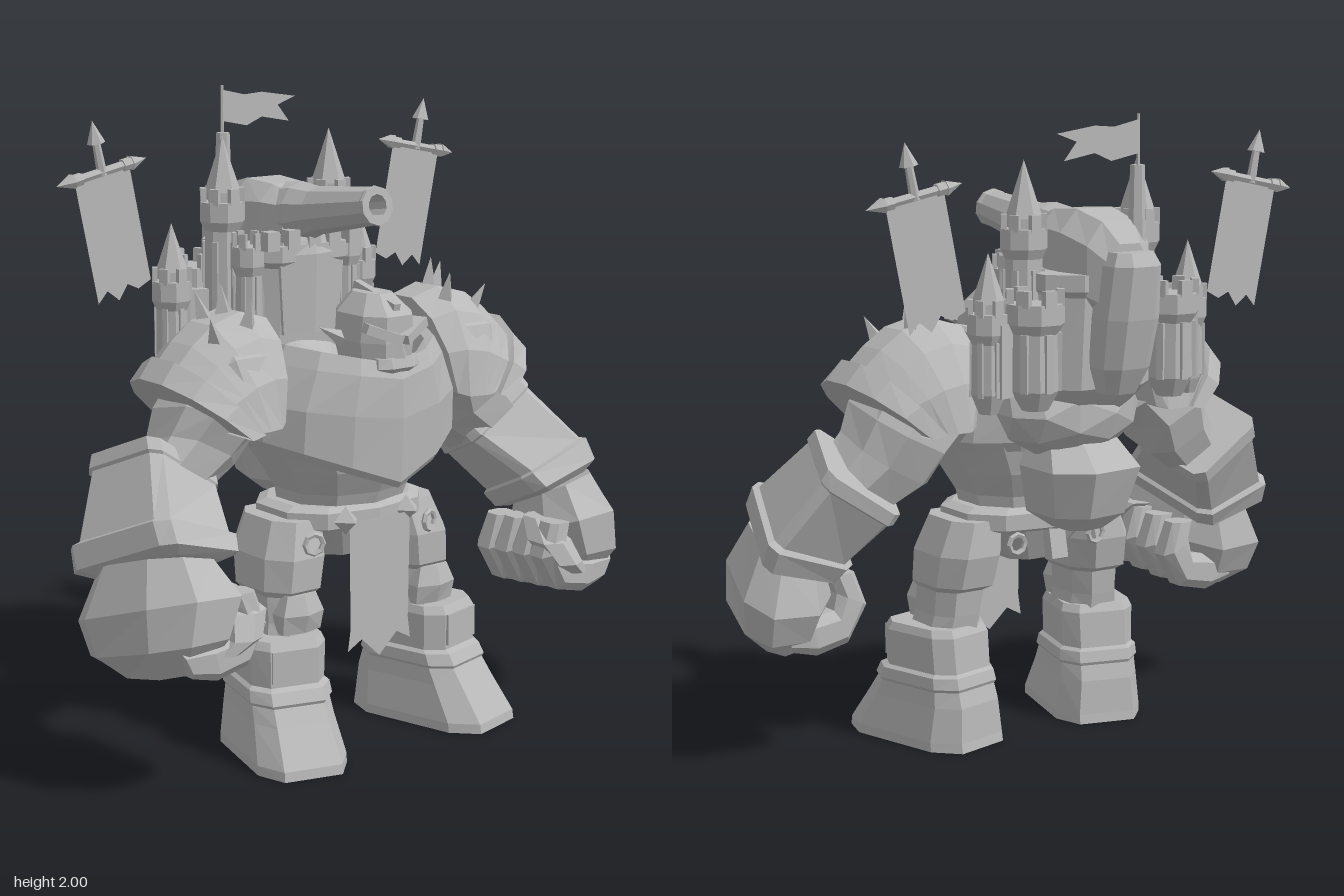
import * as THREE from 'three';

const stone = new THREE.MeshStandardMaterial({ color: 0xb8b8b8, flatShading: true, side: THREE.DoubleSide });
stone.name = 'grey stone';
const V = (x, y, z) => new THREE.Vector3(x, y, z);

function add(parent, name, geo, pos = [0, 0, 0], rot = [0, 0, 0], scale = [1, 1, 1]) {
  const m = new THREE.Mesh(geo, stone);
  m.name = name;
  m.position.set(...pos);
  m.rotation.set(...rot);
  m.scale.set(...scale);
  parent.add(m);
  return m;
}

// Ring of n points around c; e below 1 makes the section boxier
function ring(c, u, v, n = 8, e = 0.75) {
  const p = (t) => Math.sign(t) * Math.abs(t) ** e;
  return Array.from({ length: n }, (_, i) => {
    const a = ((i + 0.5) / n) * Math.PI * 2;
    return c.clone().addScaledVector(u, p(Math.cos(a))).addScaledVector(v, p(Math.sin(a)));
  });
}
// Horizontal ring
const flat = (x, y, z, rx, rz, n, e) => ring(V(x, y, z), V(rx, 0, 0), V(0, 0, rz), n, e);
// Limb ring from outer point a to inner point b, with depth, forward tilt and inward turn
const limb = (ax, ay, bx, by, z, rz, tilt = 0, turn = 0, n = 8, e = 0.75) =>
  ring(V((ax + bx) / 2, (ay + by) / 2, z), V((ax - bx) / 2, (ay - by) / 2, 0), V(-turn * rz, tilt * rz, rz), n, e);
// Arch section with its crown at a and its flat foot through b
const arch = (ax, ay, bx, by, z, rz) => Array.from({ length: 8 }, (_, i) => {
  const t = (i / 7 - 0.5) * Math.PI, c = Math.cos(t);
  return V(bx + (ax - bx) * c, by + (ay - by) * c, z + rz * Math.sin(t));
});

// Skin over a list of rings, closed at both ends unless open
function loft(rings, open = false) {
  const n = rings[0].length, pts = rings.flat(), idx = [];
  for (let r = 0; r < rings.length - 1; r++) for (let i = 0; i < n; i++) {
    const a = r * n + i, b = r * n + ((i + 1) % n);
    idx.push(a, a + n, b, b, a + n, b + n);
  }
  if (!open) for (const [r, s] of [[0, 0], [rings.length - 1, 1]]) {
    const mid = rings[r].reduce((t, p) => t.add(p), V(0, 0, 0)).divideScalar(n);
    const k = pts.push(mid) - 1;
    for (let i = 0; i < n; i++) {
      const a = r * n + i, b = r * n + ((i + 1) % n);
      idx.push(k, s ? b : a, s ? a : b);
    }
  }
  // Turn the faces outward
  let vol = 0;
  for (let i = 0; i < idx.length; i += 3) vol += pts[idx[i]].dot(pts[idx[i + 1]].clone().cross(pts[idx[i + 2]]));
  if (vol < 0) idx.reverse();
  const g = new THREE.BufferGeometry().setFromPoints(pts);
  g.setIndex(idx);
  const out = g.toNonIndexed();
  out.computeVertexNormals();
  return out;
}
const cloth = (pts) => new THREE.ShapeGeometry(new THREE.Shape(pts.map((p) => new THREE.Vector2(...p))));
const box = (x, y, z) => new THREE.BoxGeometry(x, y, z);
const cyl = (a, b, h, n = 8) => new THREE.CylinderGeometry(a, b, h, n);

// Round tower with corbel, battlements and optional pointed roof
function tower(parent, x, z, y0, y1, r, roof) {
  const t = new THREE.Group();
  t.name = 'tower';
  t.position.set(x, 0, z);
  add(t, 'towerBody', loft([[y0, 0.55], [y0 + 0.06, 1], [y1 - 0.12, 0.95], [y1 - 0.09, 1.2], [y1 - 0.03, 1.2]]
    .map(([y, s]) => flat(0, y, 0, r * s, r * s, 8, 1))));
  for (let i = 0; i < 6; i++) {
    const a = (i * Math.PI) / 3;
    add(t, 'battlement', box(r * 0.55, 0.05, r * 0.3), [Math.sin(a) * r, y1 - 0.012, Math.cos(a) * r], [0, a, 0]);
    add(t, 'buttress', box(r * 0.3, (y1 - y0) * 0.5, r * 0.2), [Math.sin(a) * r * 0.96, (y0 + y1) / 2 - 0.03, Math.cos(a) * r * 0.96], [0, a, 0]);
  }
  if (roof) {
    add(t, 'towerNeck', cyl(r * 0.75, r * 0.75, 0.06, 6), [0, y1 - 0.01, 0]);
    add(t, 'towerRoof', new THREE.ConeGeometry(r * 0.95, roof, 6), [0, y1 + roof / 2, 0]);
  }
  parent.add(t);
}

function leg(g) {
  const boot = new THREE.Group();
  boot.name = 'boot';
  boot.position.set(0.305, 0, 0.225);
  boot.rotation.y = 0.26;
  add(boot, 'bootShell', loft([
    [0, 0.005, 0.152, 0.26], [0.03, 0.005, 0.152, 0.255], [0.14, -0.03, 0.137, 0.21], [0.19, -0.04, 0.133, 0.185],
    [0.2, -0.04, 0.14, 0.19], [0.235, -0.045, 0.137, 0.175], [0.245, -0.05, 0.125, 0.16],
    [0.36, -0.045, 0.128, 0.155], [0.385, -0.045, 0.118, 0.14],
  ].map(([y, z, rx, rz]) => flat(0, y, z, rx, rz, 8, 0.5))));
  add(boot, 'shinPlate', box(0.15, 0.1, 0.015), [0, 0.31, 0.105]);
  g.add(boot);
  add(g, 'thigh', loft([
    [0.27, 0.36, 0.17, 0.1, 0.12], [0.265, 0.42, 0.16, 0.09, 0.12], [0.26, 0.5, 0.15, 0.095, 0.12],
    [0.255, 0.52, 0.14, 0.115, 0.15], [0.245, 0.62, 0.13, 0.12, 0.165], [0.22, 0.73, 0.12, 0.1, 0.14],
  ].map((r) => flat(...r))));
  add(g, 'kneeGuard', loft([[0.39, 0.08, 0.04], [0.45, 0.085, 0.06], [0.51, 0.06, 0.04]]
    .map(([y, rx, rz]) => flat(0.265, y, 0.25, rx, rz, 6))));
}

function arm(g) {
  add(g, 'upperArm', loft([
    limb(0.5, 1.25, 0.28, 1.0, 0.08, 0.17), limb(0.62, 1.11, 0.36, 0.98, 0.08, 0.18, 0.2),
    limb(0.66, 1.02, 0.42, 0.89, 0.08, 0.14, 0.3), limb(0.74, 0.92, 0.52, 0.83, 0.1, 0.11, 0.4)]));
  // Square bracer with raised rims
  add(g, 'bracer', loft([
    [0.745, 0.99, 0.55, 0.855, 0.05, 0.1], [0.775, 1.01, 0.525, 0.84, 0.05, 0.125],
    [0.79, 0.975, 0.54, 0.81, 0.07, 0.135], [0.785, 0.965, 0.55, 0.81, 0.075, 0.13],
    [0.885, 0.8, 0.625, 0.705, 0.2, 0.165], [0.905, 0.795, 0.615, 0.695, 0.205, 0.18],
    [0.91, 0.73, 0.64, 0.655, 0.24, 0.185], [0.87, 0.7, 0.68, 0.65, 0.25, 0.15],
  ].map((r) => limb(...r, 0.42, 0.33, 8, 0.25))));
  add(g, 'fist', loft([
    limb(0.9, 0.72, 0.68, 0.67, 0.26, 0.17, 0.3, 0.25), limb(0.96, 0.58, 0.64, 0.56, 0.29, 0.24, 0.32, 0.25),
    limb(0.95, 0.46, 0.68, 0.46, 0.31, 0.215, 0.28, 0.2), limb(0.87, 0.37, 0.7, 0.4, 0.3, 0.14, 0.2, 0.15)]));
  // Curled fingers and thumb
  for (let i = 0; i < 4; i++) {
    const z = 0.16 + i * 0.095, y = 0.405 + i * 0.012, x = 0.015 - i * 0.01;
    add(g, 'finger', loft([
      limb(0.87 + x, y + 0.06, 0.82 + x, y - 0.04, z, 0.045), limb(0.77 + x, y + 0.07, 0.74 + x, y - 0.06, z, 0.06),
      limb(0.68 + x, y + 0.08, 0.63 + x, y - 0.035, z, 0.058), limb(0.67 + x, y + 0.13, 0.56 + x, y + 0.08, z, 0.056),
      limb(0.69 + x, y + 0.19, 0.6 + x, y + 0.19, z, 0.045)]));
  }
  add(g, 'thumb', loft([[0.64, 0.63, 0.36, 0.05], [0.61, 0.57, 0.44, 0.065], [0.64, 0.5, 0.48, 0.055], [0.69, 0.46, 0.48, 0.035]]
    .map(([x, y, z, r]) => flat(x, y, z, r, r, 6))));
}

function pauldron(g) {
  // Arched shell with a banded rim
  add(g, 'pauldron', loft([
    [0.285, 1.355, 0.34, 1.06, 0.08, 0.215], [0.39, 1.385, 0.37, 1.05, 0.08, 0.24], [0.5, 1.355, 0.42, 1.05, 0.085, 0.248],
    [0.575, 1.3, 0.45, 1.05, 0.09, 0.245], [0.625, 1.25, 0.47, 1.06, 0.095, 0.24], [0.645, 1.262, 0.46, 1.05, 0.095, 0.265],
    [0.695, 1.2, 0.51, 1.04, 0.1, 0.265], [0.67, 1.18, 0.5, 1.04, 0.1, 0.23],
  ].map((r) => arch(...r))));
  for (const [x, y, z, tz, tx] of [[0.39, 1.355, 0.18, 0, 0.25], [0.41, 1.385, 0.07, -0.1, 0], [0.47, 1.365, 0.04, -0.3, -0.1], [0.52, 1.31, 0.18, -0.4, 0.3]])
    add(g, 'spike', new THREE.ConeGeometry(0.032, 0.1, 4), [x, y + 0.025, z], [tx, 0, tz]);
  add(g, 'starStud', new THREE.ConeGeometry(0.1, 0.04, 4), [0.49, 1.25, 0.25], [0.85, 0, -0.4]);
}

function banner(g) {
  const b = new THREE.Group();
  b.name = 'banner';
  b.position.set(0.62, 1.775, -0.25);
  b.rotation.z = -0.2;
  add(b, 'crossbar', cyl(0.014, 0.014, 0.26, 6), [0, 0, 0], [0, 0, Math.PI / 2]);
  for (const s of [-1, 1]) {
    add(b, 'barTip', new THREE.ConeGeometry(0.025, 0.06, 6), [s * 0.135, 0, 0], [0, 0, -s * Math.PI / 2]);
    add(b, 'barCollar', cyl(0.02, 0.02, 0.03, 6), [s * 0.09, 0, 0], [0, 0, Math.PI / 2]);
  }
  add(b, 'finialStem', cyl(0.012, 0.016, 0.11, 6), [0, 0.045, 0]);
  add(b, 'finialTip', new THREE.ConeGeometry(0.028, 0.07, 6), [0, 0.125, 0]);
  add(b, 'bannerCloth', cloth([[-0.1, 0], [0.1, 0], [0.1, -0.39], [0.06, -0.36], [0.025, -0.4], [-0.015, -0.36], [-0.05, -0.385], [-0.1, -0.37]]));
  g.add(b);
}

export function createModel() {
  const model = new THREE.Group();
  model.name = 'castleGolem';

  // Torso: belly, open breastplate with pointed lower edge, belt
  add(model, 'belly', loft([[0.7, 0.12, 0.2, 0.16], [0.8, 0.13, 0.22, 0.19], [0.88, 0.13, 0.27, 0.235], [0.98, 0.13, 0.34, 0.26], [1.14, 0.1, 0.3, 0.25]]
    .map(([y, z, rx, rz]) => flat(0, y, z, rx, rz, 10, 0.9))));
  const plate = [[0.96, 0.14, 0.35, 0.27, 0.13], [0.99, 0.14, 0.37, 0.285, 0.14], [1.1, 0.14, 0.365, 0.295, 0.05],
    [1.22, 0.14, 0.31, 0.29, 0.05], [1.275, 0.14, 0.28, 0.27, 0.06], [1.265, 0.14, 0.25, 0.24, 0.06], [1.14, 0.14, 0.2, 0.19, 0], [1.13, 0.14, 0.01, 0.01, 0]]
    .map(([y, z, rx, rz, dip]) => {
      const r = flat(0, y, z, rx, rz, 14, 0.95);
      r.forEach((p) => { if (p.z > z + 0.001) p.y -= dip * (1 - Math.abs(p.x) / rx); });
      return r;
    });
  add(model, 'breastplate', loft(plate, true));
  add(model, 'belt', loft([[0.69, 0.25, 0.19], [0.7, 0.275, 0.205], [0.75, 0.275, 0.205], [0.765, 0.24, 0.18]]
    .map(([y, rx, rz]) => flat(0, y, 0.12, rx, rz, 10, 0.8))));
  add(model, 'hips', loft([[0.58, 0.1, 0.1], [0.7, 0.22, 0.17]].map(([y, rx, rz]) => flat(0, y, 0.11, rx, rz))));
  add(model, 'loincloth', cloth([[-0.12, 0.72], [0.12, 0.72], [0.115, 0.38], [0.125, 0.31], [0.07, 0.34], [0, 0.275], [-0.07, 0.34], [-0.125, 0.31], [-0.115, 0.38]]), [0, 0, 0.325]);
  add(model, 'backPouch', box(0.06, 0.11, 0.04), [0, 0.65, -0.06], [0.2, 0, 0]);

  // Rocky back carrying the fortress
  add(model, 'upperBack', new THREE.IcosahedronGeometry(1, 1), [0, 1.09, -0.13], [0, 0.3, 0], [0.27, 0.16, 0.19]);
  add(model, 'lowerBack', loft([[0.72, -0.18, 0.07, 0.08], [0.77, -0.17, 0.14, 0.15], [0.92, -0.2, 0.18, 0.17], [1.0, -0.16, 0.14, 0.12]]
    .map(([y, z, rx, rz]) => flat(0, y, z, rx, rz, 7))));

  // Head
  add(model, 'head', loft([[1.13, 0.3, 0.06, 0.08], [1.18, 0.3, 0.095, 0.11], [1.28, 0.29, 0.11, 0.13], [1.36, 0.29, 0.1, 0.13], [1.42, 0.28, 0.05, 0.07]]
    .map(([y, z, rx, rz]) => flat(0, y, z, rx, rz))));
  add(model, 'jaw', loft([[1.18, 0.05, 0.025], [1.205, 0.085, 0.05], [1.235, 0.08, 0.04]].map(([y, rx, rz]) => flat(0, y, 0.385, rx, rz))));
  add(model, 'nose', new THREE.ConeGeometry(0.025, 0.07, 4), [0, 1.27, 0.415]);
  add(model, 'helmetCrest', box(0.025, 0.04, 0.2), [0, 1.4, 0.3], [0.25, 0, 0]);

  // Keep, gun housing and cannon
  add(model, 'keep', loft([[1.08, -0.18, 0.12, 0.1], [1.18, -0.2, 0.2, 0.17], [1.46, -0.2, 0.2, 0.19], [1.48, -0.2, 0.22, 0.205], [1.53, -0.2, 0.22, 0.205]]
    .map(([y, z, rx, rz]) => flat(0, y, z, rx, rz, 8, 0.6))));
  add(model, 'keepFront', loft([[1.25, -0.05, 0.12, 0.05], [1.5, -0.05, 0.14, 0.06], [1.56, -0.07, 0.1, 0.06]]
    .map(([y, z, rx, rz]) => flat(0, y, z, rx, rz, 6))));
  for (const x of [-0.16, -0.08, 0, 0.08, 0.16]) add(model, 'keepBattlement', box(0.045, 0.06, 0.04), [x, 1.55, -0.02]);
  const zRing = (z, y, hx, hy) => ring(V(0, y, z), V(hx, 0, 0), V(0, hy, 0));
  add(model, 'gunHousing', loft([zRing(-0.06, 1.61, 0.09, 0.08), zRing(-0.14, 1.6, 0.12, 0.115), zRing(-0.27, 1.575, 0.135, 0.15), zRing(-0.39, 1.54, 0.12, 0.155), zRing(-0.45, 1.5, 0.075, 0.13)]));
  add(model, 'cannon', new THREE.LatheGeometry([[0.1, -0.1], [0.095, 0.1], [0.075, 0.18], [0.058, 0.44], [0.062, 0.45], [0.06, 0.46], [0.035, 0.46], [0.033, 0.38], [0, 0.38]]
    .map((p) => new THREE.Vector2(...p)), 10), [0, 1.612, -0.15], [Math.PI / 2 - 0.15, 0, 0]);
  add(model, 'powderStore', loft([[1.17, -0.38, 0.06, 0.06], [1.25, -0.4, 0.09, 0.08], [1.4, -0.43, 0.1, 0.085], [1.56, -0.45, 0.09, 0.085], [1.6, -0.45, 0.07, 0.06]]
    .map(([y, z, rx, rz]) => flat(0, y, z, rx, rz))));

  // Flag on its chimney
  add(model, 'chimney', cyl(0.022, 0.028, 0.24, 6), [-0.07, 1.73, -0.39]);
  add(model, 'flagPole', cyl(0.005, 0.006, 0.17, 5), [-0.065, 1.915, -0.4]);
  add(model, 'flag', cloth([[-0.06, 1.985], [0.03, 1.965], [0.1, 1.97], [0.235, 1.95], [0.165, 1.925], [0.21, 1.87], [0.1, 1.89], [0.04, 1.865], [-0.06, 1.885]]), [0, 0, -0.41]);

  // Mirrored halves
  for (const s of [1, -1]) {
    const side = new THREE.Group();
    side.name = s > 0 ? 'leftSide' : 'rightSide';
    side.scale.x = s;
    leg(side);
    arm(side);
    pauldron(side);
    banner(side);
    tower(side, 0.21, -0.2, 1.2, 1.69, 0.06, 0.175);
    tower(side, 0.37, -0.25, 1.12, 1.45, 0.053, 0.15);
    tower(side, 0.25, -0.32, 1.13, 1.48, 0.075, 0);
    tower(side, 0.19, -0.09, 1.2, 1.56, 0.045, 0);
    add(side, 'towerWall', box(0.18, 0.22, 0.08), [0.29, 1.28, -0.25], [0, 0.3, 0]);
    add(side, 'beltStud', new THREE.ConeGeometry(0.045, 0.05, 4), [0.12, 0.725, 0.33], [Math.PI / 2, 0, 0]);
    add(side, 'beltRing', new THREE.TorusGeometry(0.03, 0.009, 5, 8), [0.23, 0.665, 0.29], [0, 0.3, 0]);
    add(side, 'backRing', new THREE.TorusGeometry(0.03, 0.009, 5, 8), [0.15, 0.66, -0.07]);
    add(side, 'brow', box(0.12, 0.03, 0.05), [0.055, 1.31, 0.4], [0, 0.35, 0.35]);
    add(side, 'helmetHorn', new THREE.ConeGeometry(0.03, 0.1, 5), [0.135, 1.3, 0.25], [0, 0, -1.1]);
    model.add(side);
  }
  return model;
}
